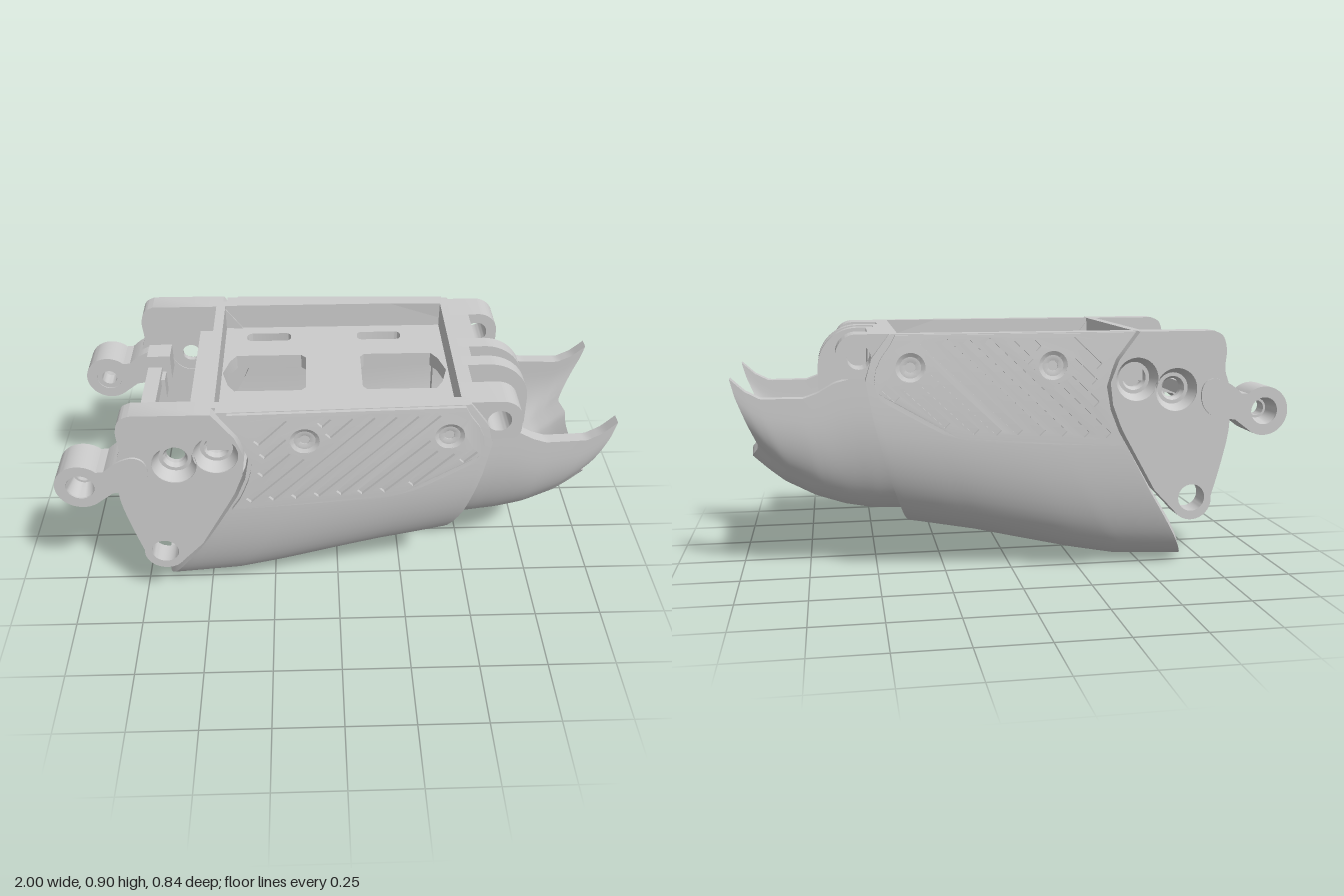
import * as THREE from 'three';
import { toCreasedNormals } from 'three/addons/utils/BufferGeometryUtils.js';

const grey = new THREE.MeshStandardMaterial({ color: 0xcccccc, side: THREE.DoubleSide });
const { lerp } = THREE.MathUtils;

// piecewise-linear lookup in [[a, b], ...]
function look(table, a) {
  if (a <= table[0][0]) return table[0][1];
  for (let i = 1; i < table.length; i++) {
    const [a0, b0] = table[i - 1], [a1, b1] = table[i];
    if (a <= a1) return lerp(b0, b1, (a - a0) / (a1 - a0));
  }
  return table[table.length - 1][1];
}

// edges of the main shell
const rearX = y => look([[0, -0.68], [0.14, -0.6], [0.3, -0.5], [0.55, -0.36], [0.64, -0.325], [0.72, -0.315], [0.8, -0.345], [0.9, -0.42]], y);
const frontX = y => look([[0.16, 0.37], [0.22, 0.4], [0.4, 0.46], [0.6, 0.51], [0.74, 0.535], [0.8, 0.525], [0.9, 0.45]], y);
const shellBottom = u => look([[0, 0.003], [0.25, 0.012], [0.4, 0.04], [0.55, 0.075], [0.75, 0.12], [1, 0.16]], u);
const panelLine = x => look([[-0.4, 0.49], [0.17, 0.52], [0.27, 0.55], [0.5, 0.68]], x);

// half width of a rounded U at height fraction s
const uWidth = (s, a, q, full) => a * Math.pow(1 - Math.pow(1 - Math.min(s / full, 1), 2), 1 / q);
const shellWidth = (u, s) => uWidth(s, lerp(0.407, 0.383, u), lerp(4.6, 2.6, u), 0.6) - 0.01 * Math.max(0, (s - 0.6) / 0.4) ** 2;

// thick U-shaped trough; point(u, s) gives [x, y, halfWidth]
function trough(point, nu, sideScale, floor) {
  const rows = 24, pos = [], idx = [], n = rows * 2 + 1, m = n * 2;
  for (let i = 0; i <= nu; i++) {
    for (let k = 0; k < m; k++) {
      const inner = k >= n, t = (inner ? m - 1 - k : k) / rows - 1;
      const s = 0.8 * Math.abs(t) ** 3 + 0.2 * t * t;
      const [x, y, w] = point(i / nu, s);
      pos.push(x, inner ? y + floor * (1 - s) : y, Math.sign(t) * w * (inner ? sideScale : 1));
    }
  }
  for (let i = 0; i < nu; i++) for (let k = 0; k < m; k++) {
    const a = i * m + k, b = i * m + (k + 1) % m;
    idx.push(a, a + m, b, b, a + m, b + m);
  }
  for (let k = 0; k < n - 1; k++) {
    const o = m - 1, e = nu * m;
    idx.push(k, k + 1, o - k, k + 1, o - k - 1, o - k);
    idx.push(e + k, e + o - k, e + k + 1, e + k + 1, e + o - k, e + o - k - 1);
  }
  const g = new THREE.BufferGeometry();
  g.setAttribute('position', new THREE.Float32BufferAttribute(pos, 3));
  g.setIndex(idx);
  return toCreasedNormals(g, 0.6);
}

const poly = pts => new THREE.Shape(pts.map(p => new THREE.Vector2(p[0], p[1])));
const circle = (x, y, r) => new THREE.Path().absarc(x, y, r, 0, Math.PI * 2, true);
function roundRect(x0, y0, x1, y1, r, C = THREE.Path) {
  const p = new C();
  p.absarc(x1 - r, y1 - r, r, 0, Math.PI / 2);
  p.absarc(x0 + r, y1 - r, r, Math.PI / 2, Math.PI);
  p.absarc(x0 + r, y0 + r, r, Math.PI, Math.PI * 1.5);
  p.absarc(x1 - r, y0 + r, r, Math.PI * 1.5, Math.PI * 2);
  p.closePath();
  return p;
}
const extrude = (shape, depth) => new THREE.ExtrudeGeometry(shape, { depth, bevelEnabled: false, curveSegments: 20 });
// profile in x-y, from z0 to z1
const slab = (shape, z0, z1) => toCreasedNormals(extrude(shape, z1 - z0).translate(0, 0, z0), 0.5);
// plan in x-z, from y0 to y1
const plate = (shape, y0, y1) => toCreasedNormals(extrude(shape, y1 - y0).rotateX(Math.PI / 2).translate(0, y1, 0), 0.5);

export function createModel() {
  const model = new THREE.Group();
  const add = (name, geo) => {
    const mesh = new THREE.Mesh(geo, grey);
    mesh.name = name;
    model.add(mesh);
    return mesh;
  };
  const box = (name, x0, x1, y0, y1, z0, z1) =>
    add(name, new THREE.BoxGeometry(x1 - x0, y1 - y0, z1 - z0)).position.set((x0 + x1) / 2, (y0 + y1) / 2, (z0 + z1) / 2);
  // stepped, countersunk screw seat facing outwards
  const seat = (name, x, y, z, R, r, d, side) => {
    const pts = [[R, 0], [R * 0.72, -d * 0.55], [R * 0.55, -d * 0.55], [r, -d * 0.75], [r, -d], [R, -d]];
    const g = new THREE.LatheGeometry(pts.map(p => new THREE.Vector2(...p)), 32).toNonIndexed();
    add(name, toCreasedNormals(g.rotateX(side * Math.PI / 2), 0.4)).position.set(x, y, side * z);
  };

  // main shell
  add('mainShell', trough((u, s) => {
    const y = lerp(shellBottom(u), 0.9, s);
    return [lerp(rearX(y), frontX(y), u), y, shellWidth(u, s)];
  }, 36, 0.87, 0.04));

  // front scoop with two raised prongs
  add('frontScoop', trough((u, s) => {
    const bottom = look([[0, 0.205], [0.2, 0.212], [0.4, 0.235], [0.6, 0.275], [0.8, 0.335], [0.9, 0.38], [1, 0.43]], u);
    const top = look([[0, 0.74], [0.3, 0.74], [0.4, 0.725], [0.5, 0.69], [0.58, 0.672], [0.83, 0.672], [0.92, 0.7], [1, 0.745]], u);
    const tip = look([[0, 0.93], [0.08, 0.94], [0.2, 0.912], [0.5, 0.95], [0.8, 0.985], [1, 1]], s);
    return [lerp(0.4, tip, u), lerp(bottom, top, s), uWidth(s, lerp(0.312, 0.28, u), lerp(2.6, 4, u), 0.8)];
  }, 36, 0.84, 0.03));

  // grooved side panels following the shell surface
  const screws = [[-0.12, 0.785], [0.38, 0.785]];
  const surface = (x, y) => {
    const u = THREE.MathUtils.clamp((x - rearX(y)) / (frontX(y) - rearX(y)), 0, 1);
    const b = shellBottom(u);
    return shellWidth(u, (y - b) / (0.9 - b));
  };
  const outline = [];
  for (let i = 0; i <= 16; i++) { const x = lerp(-0.385, 0.485, i / 16); outline.push([x, panelLine(x)]); }
  for (let y = 0.7; y < 0.9; y += 0.04) outline.push([frontX(y) - 0.03, y]);
  outline.push([0.43, 0.897]);
  for (let i = 0; i <= 12; i++) outline.push([lerp(0.4, -0.38, i / 12), 0.897]);
  for (let y = 0.86; y > 0.5; y -= 0.04) outline.push([rearX(y) + 0.012, y]);
  const panel = poly(outline);
  screws.forEach(([x, y]) => panel.holes.push(circle(x, y, 0.05)));
  const inPanel = (x, y) => y > panelLine(x) + 0.035 && y < 0.875 && x > rearX(y) + 0.045 && x < frontX(y) - 0.06
    && screws.every(c => Math.hypot(x - c[0], y - c[1]) > 0.075);
  const w = 0.009;
  for (let x0 = -0.56; x0 < 0.5; x0 += 0.075) {
    let start = null;
    for (let y = 0.52; y <= 0.9; y += 0.005) {
      const x = x0 + (y - 0.52) * 1.05, ok = inPanel(x, y);
      if (ok && !start) start = [x, y];
      if (!ok && start) {
        if (y - start[1] > 0.03) panel.holes.push(new THREE.Path([
          new THREE.Vector2(start[0] - w, start[1] + w), new THREE.Vector2(x - w, y + w),
          new THREE.Vector2(x + w, y - w), new THREE.Vector2(start[0] + w, start[1] - w)]));
        start = null;
      }
    }
  }
  for (const side of [1, -1]) {
    const g = extrude(panel, 0.02).translate(0, 0, side > 0 ? 0 : -0.02), p = g.attributes.position;
    for (let i = 0; i < p.count; i++) p.setZ(i, p.getZ(i) + side * (surface(p.getX(i), p.getY(i)) - 0.007));
    add('groovedPanel', toCreasedNormals(g, 0.4));
    screws.forEach(([x, y]) => seat('panelScrewSeat', x, y, surface(x, y) + 0.015, 0.052, 0.018, 0.014, side));
  }

  // rear hinge brackets
  const edge = [[-0.71, 0.9], [-0.435, 0.9]];
  for (let y = 0.88; y > 0.31; y -= 0.04) edge.push([rearX(y) - 0.015, y]);
  const bracket = poly(edge);
  bracket.absarc(-0.645, 0.28, 0.076, -0.6, -Math.PI * 1.05, true);
  bracket.splineThru([[-0.755, 0.42], [-0.78, 0.55], [-0.775, 0.69], [-0.757, 0.76], [-0.76, 0.83], [-0.745, 0.88], [-0.71, 0.9]].map(p => new THREE.Vector2(...p)));
  const pivots = [[-0.575, 0.69], [-0.428, 0.73]];
  pivots.forEach(([x, y]) => bracket.holes.push(circle(x, y, 0.078)));
  bracket.holes.push(circle(-0.645, 0.287, 0.05));

  // rear link arms
  const arm = new THREE.Shape();
  arm.absarc(-0.91, 0.605, 0.09, 0.8, Math.PI * 1.7);
  arm.lineTo(-0.8, 0.575);
  arm.lineTo(-0.735, 0.585);
  arm.quadraticCurveTo(-0.67, 0.6, -0.668, 0.67);
  arm.quadraticCurveTo(-0.67, 0.728, -0.72, 0.728);
  arm.quadraticCurveTo(-0.77, 0.72, -0.82, 0.672);
  arm.holes.push(circle(-0.91, 0.605, 0.05));

  // front ears with a cross hole
  const ear = new THREE.Shape();
  ear.moveTo(0.42, 0.745);
  ear.lineTo(0.6, 0.745);
  ear.quadraticCurveTo(0.635, 0.745, 0.635, 0.79);
  ear.absarc(0.56, 0.825, 0.075, 0, Math.PI / 2);
  ear.lineTo(0.42, 0.9);
  ear.holes.push(circle(0.555, 0.82, 0.042));

  for (const side of [1, -1]) {
    const both = (name, shape, a, b) => add(name, slab(shape, side > 0 ? a : -b, side > 0 ? b : -a));
    both('hingeBracket', bracket, 0.325, 0.408);
    both('linkArm', arm, 0.28, 0.416);
    both('frontEar', ear, 0.235, 0.36);
    pivots.forEach(([x, y]) => seat('pivotSeat', x, y, 0.408, 0.08, 0.035, 0.08, side));
    seat('armSeat', -0.91, 0.605, 0.414, 0.051, 0.03, 0.13, side);
    const sideBox = (name, x0, x1, y0, y1, a, b) => box(name, x0, x1, y0, y1, side > 0 ? a : -b, side > 0 ? b : -a);
    sideBox('crossbarEnd', -0.74, -0.65, 0.63, 0.73, 0.235, 0.33);
    sideBox('crossbarTab', -0.73, -0.67, 0.575, 0.66, 0.175, 0.235);
  }

  // rear crossbar and ledge
  box('rearCrossbar', -0.74, -0.685, 0.63, 0.68, -0.33, 0.33);
  box('rearLedge', -0.53, -0.45, 0.73, 0.79, -0.33, 0.33);

  // top tray: rim and floor with openings
  const rim = poly([[-0.46, -0.365], [0.45, -0.365], [0.45, 0.365], [-0.46, 0.365]]);
  rim.holes.push(poly([[-0.425, -0.33], [-0.425, 0.33], [0.42, 0.33], [0.42, -0.33]]));
  add('trayRim', plate(rim, 0.72, 0.9));
  const floor = poly([[-0.45, -0.35], [0.44, -0.35], [0.44, 0.35], [-0.45, 0.35]]);
  floor.holes.push(poly([[-0.422, 0], [-0.4, 0.08], [-0.375, 0.12], [-0.13, 0.12], [-0.112, 0.1], [-0.112, -0.1], [-0.13, -0.12], [-0.375, -0.12], [-0.4, -0.08]]));
  floor.holes.push(poly([[0.412, 0], [0.39, 0.08], [0.365, 0.12], [0.11, 0.12], [0.095, 0.1], [0.095, -0.1], [0.11, -0.12], [0.365, -0.12], [0.39, -0.08]]));
  for (const x of [-0.34, 0.09]) for (const z of [-0.255, 0.25])
    floor.holes.push(roundRect(x, z - 0.028, x + 0.17, z + 0.028, 0.02));
  add('trayFloor', plate(floor, 0.745, 0.8));

  // front knuckle lugs and the blocks beside them
  const lug = new THREE.Shape();
  lug.moveTo(0.43, 0.6);
  lug.lineTo(0.66, 0.6);
  lug.lineTo(0.7, 0.64);
  lug.absarc(0.55, 0.75, 0.15, 0, Math.PI / 2);
  lug.lineTo(0.43, 0.9);
  add('knuckleLug', slab(lug, 0.065, 0.125));
  add('knuckleLug', slab(lug, -0.06, 0));
  box('knuckleWeb', 0.43, 0.49, 0.73, 0.9, 0, 0.065);
  box('knuckleBlock', 0.43, 0.47, 0.69, 0.9, 0.125, 0.235);
  box('knuckleBlock', 0.43, 0.52, 0.75, 0.9, -0.235, -0.06);
  return model;
}
